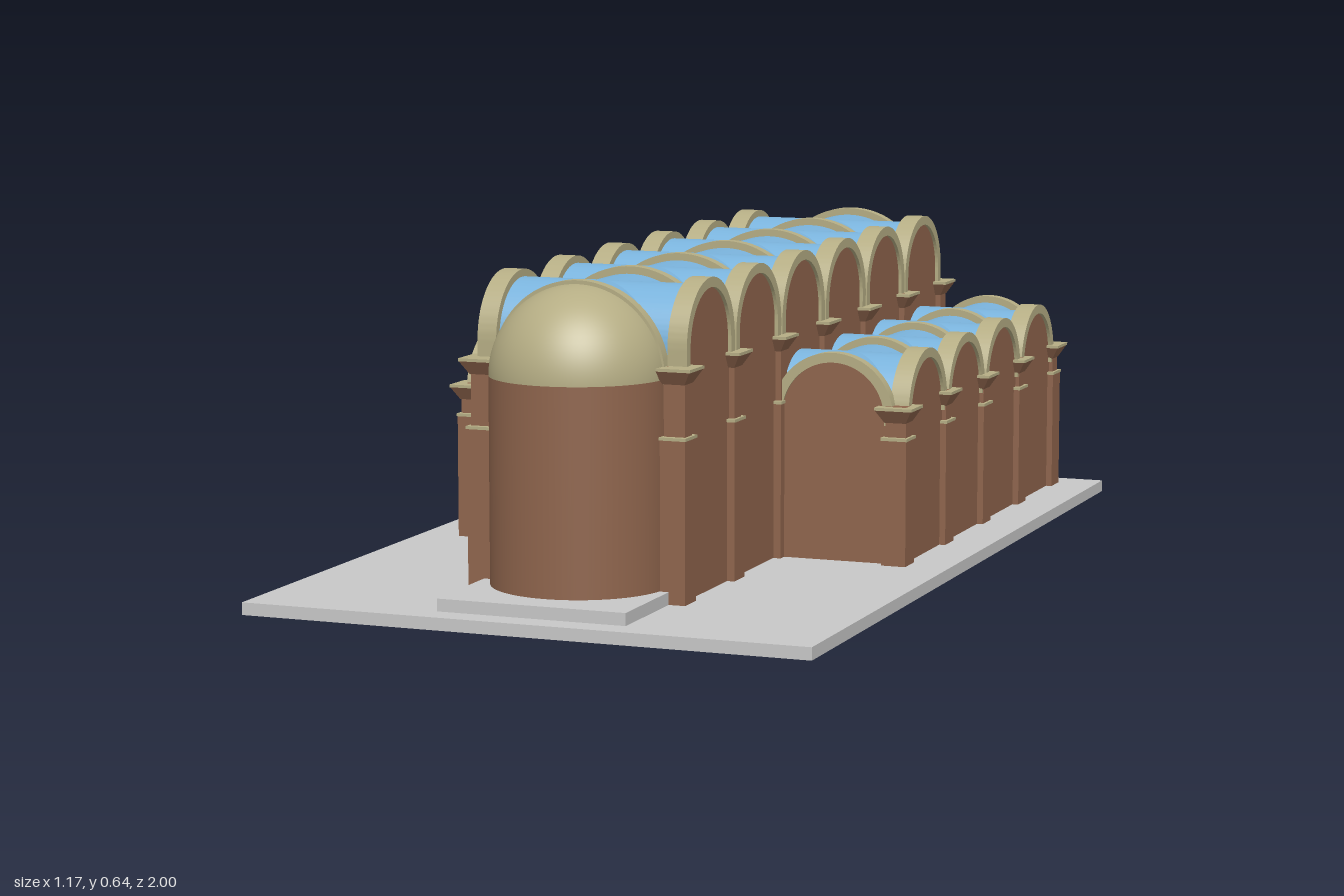
import * as THREE from 'three';
import { toCreasedNormals } from 'three/addons/utils/BufferGeometryUtils.js';

const mat = (name, color) => {
  const m = new THREE.MeshStandardMaterial({ color });
  m.name = name;
  return m;
};

export function createModel() {
  const model = new THREE.Group();
  model.name = 'basilica';
  const brick = mat('brick brown', 0x8f654d);
  const stone = mat('pale stone', 0xb5ad84);
  const blue = mat('vault blue', 0x7ab3dc);
  const grey = mat('plinth grey', 0xc8c8c8);

  const FLOOR = 0.025;
  const BAY = 0.268;
  const line = (i) => -0.91 + BAY * i; // z of each row of piers
  const NAVE_X = 0.2, AISLE_X = 0.472, AISLE_MID = 0.335;

  const add = (name, geo, material, x = 0, y = 0, z = 0) => {
    const mesh = new THREE.Mesh(geo, material);
    mesh.name = name;
    mesh.position.set(x, y, z);
    model.add(mesh);
    return mesh;
  };
  const box = (name, material, w, h, d, x, y0, z) =>
    add(name, new THREE.BoxGeometry(w, h, d), material, x, y0 + h / 2, z);

  // Round-headed outline, optionally hollowed into a ring, extruded about its middle
  function archGeometry(r, spring, base, depth, ring = 0) {
    const s = new THREE.Shape();
    s.moveTo(-r, base);
    if (ring) {
      s.lineTo(-r + ring, base);
      s.lineTo(-r + ring, spring);
      s.absarc(0, spring, r - ring, Math.PI, 0, true);
      s.lineTo(r - ring, base);
    }
    s.lineTo(r, base);
    s.lineTo(r, spring);
    s.absarc(0, spring, r, 0, Math.PI, false);
    s.closePath();
    const g = new THREE.ExtrudeGeometry(s, { depth, bevelEnabled: false, curveSegments: 32 });
    g.translate(0, 0, -depth / 2);
    return toCreasedNormals(g, 0.5);
  }
  // Arch facing z, or facing x when turned
  function arch(name, material, p, depth, x, z, turned) {
    const m = add(name, archGeometry(p.r, p.spring, p.base, depth, p.ring), material, x, 0, z);
    if (turned) m.rotation.y = Math.PI / 2;
  }
  // Wall panel with a stone rib around its head
  function archedWall(name, rib, ribDepth, wallDepth, x, z, turned) {
    arch(name + 'Rib', stone, rib, ribDepth, x, z, turned);
    arch(name + 'Wall', brick, { r: rib.r - 0.008, spring: rib.spring, base: FLOOR }, wallDepth, x, z, turned);
  }

  // Square pier: wide lower shaft, band, slim upper shaft, flared capital, slab
  function pier(name, x, z, bandY, topY) {
    box(name + 'LowerShaft', brick, 0.052, bandY - FLOOR, 0.058, x, FLOOR, z);
    box(name + 'Band', stone, 0.056, 0.006, 0.062, x, bandY - 0.003, z);
    box(name + 'UpperShaft', brick, 0.044, topY - bandY, 0.036, x, bandY, z);
    const flare = new THREE.CylinderGeometry(0.054, 0.032, 0.026, 4, 1).toNonIndexed();
    flare.rotateY(Math.PI / 4);
    flare.computeVertexNormals();
    add(name + 'Capital', flare, brick, x, topY - 0.019, z);
    box(name + 'Slab', stone, 0.08, 0.006, 0.076, x, topY - 0.006, z);
  }

  // Plinth and front step
  box('plinth', grey, 1.17, FLOOR, 2, 0, 0, 0);
  box('apseStep', grey, 0.39, 0.025, 0.4, 0, FLOOR, 0.745);

  // Arch profiles
  const naveCross = { r: 0.181, spring: 0.464, base: 0.45, ring: 0.02 };
  const naveSide = { r: 0.13, spring: 0.515, base: 0.48, ring: 0.02 };
  const aisleArch = { r: 0.13, spring: 0.324, base: 0.31, ring: 0.02 };
  const inner = (p) => ({ r: p.r - 0.015, spring: p.spring, base: p.base });

  // Nave: long barrel, cross barrels, side walls
  arch('naveVault', blue, inner(naveCross), BAY * 6, 0, line(3));
  for (let i = 0; i < 6; i++) {
    const z = line(i + 0.5);
    arch('naveCrossVault', blue, inner(naveSide), 0.39, 0, z, true);
    for (const s of [-1, 1]) archedWall('naveSide', naveSide, 0.04, 0.026, s * NAVE_X, z, true);
  }
  for (let i = 0; i <= 6; i++) {
    if (i === 0 || i === 6) archedWall('naveEnd', naveCross, 0.025, 0.016, 0, line(i));
    else arch('naveRib', stone, naveCross, 0.025, 0, line(i));
    for (const s of [-1, 1]) pier('navePier', s * 0.203, line(i), 0.348, 0.485);
  }

  // Aisles: four bays on either side
  for (const s of [-1, 1]) {
    const x = s * AISLE_MID;
    arch('aisleVault', blue, inner(aisleArch), BAY * 4, x, line(2));
    for (let i = 0; i < 4; i++) {
      const z = line(i + 0.5);
      arch('aisleCrossVault', blue, inner(aisleArch), 0.26, x, z, true);
      archedWall('aisleSide', aisleArch, 0.04, 0.026, s * AISLE_X, z, true);
    }
    for (let i = 0; i <= 4; i++) {
      if (i === 0 || i === 4) archedWall('aisleEnd', aisleArch, 0.025, 0.016, x, line(i));
      else arch('aisleRib', stone, aisleArch, 0.025, x, line(i));
      pier('aislePier', s * AISLE_X, line(i), 0.285, 0.35);
    }
  }

  // Rounded apse with half dome
  const R = 0.178, apseZ = 0.698, apseTop = 0.46;
  add('apseWall', new THREE.CylinderGeometry(R, R, apseTop - FLOOR, 48, 1, true, -Math.PI / 2, Math.PI),
    brick, 0, (apseTop + FLOOR) / 2, apseZ);
  add('apseDome', new THREE.SphereGeometry(R, 48, 20, 0, Math.PI, 0, Math.PI / 2), stone, 0, apseTop, apseZ);

  return model;
}
